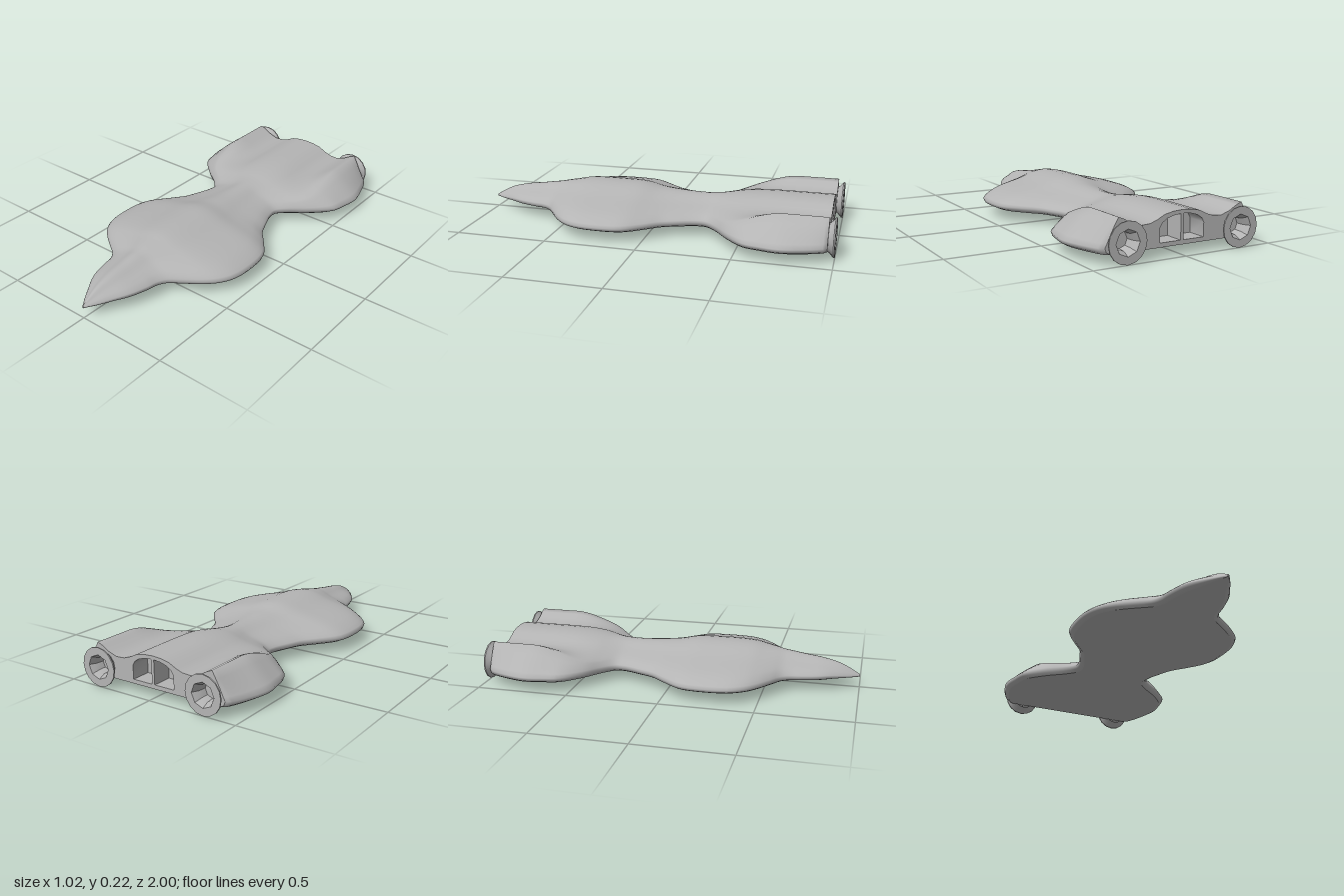
import * as THREE from 'three';
import { toCreasedNormals } from 'three/addons/utils/BufferGeometryUtils.js';

const BACK = -0.965;
const lerp = THREE.MathUtils.lerp;
const smooth = THREE.MathUtils.smoothstep;

// Outline stations: half width, ridge height, z
const STATIONS = [
  [0.004, 0.07, 1], [0.04, 0.1, 0.95], [0.078, 0.128, 0.89], [0.13, 0.15, 0.8], [0.16, 0.164, 0.7],
  [0.172, 0.174, 0.64], [0.198, 0.18, 0.595], [0.265, 0.19, 0.545], [0.34, 0.2, 0.49],
  [0.4, 0.211, 0.43], [0.44, 0.215, 0.35], [0.452, 0.215, 0.22], [0.435, 0.212, 0.1],
  [0.365, 0.193, 0], [0.3, 0.186, -0.08], [0.265, 0.181, -0.16], [0.232, 0.18, -0.25],
  [0.23, 0.182, -0.31], [0.285, 0.187, -0.375], [0.38, 0.197, -0.45], [0.473, 0.205, -0.55],
  [0.495, 0.209, -0.63], [0.51, 0.213, -0.73], [0.493, 0.212, -0.82], [0.445, 0.21, -0.945], [0.42, 0.208, BACK],
];

// Front cross-section: fraction of half width, fraction of ridge height
const FRONT = [[0, 1], [0.1, 0.97], [0.2, 0.9], [0.3, 0.79], [0.4, 0.69], [0.5, 0.61], [0.6, 0.54],
  [0.7, 0.46], [0.78, 0.39], [0.85, 0.31], [0.92, 0.2], [0.97, 0.1], [1, 0]];
// Rear cross-section: raised centre, valley and engine pod; past the pod crest x is a fraction to the rim
const REAR = [[0, 0.213], [0.05, 0.21], [0.1, 0.2], [0.14, 0.18], [0.18, 0.166], [0.23, 0.163], [0.28, 0.18],
  [0.32, 0.203], [0.35, 0.215], [0.3, 0.178], [0.6, 0.138], [0.85, 0.1], [1, 0.08]];

// Open section from the left bottom edge, over the top, to the right bottom edge
function section({ x: w, y: h, z }) {
  const rim = lerp(0.064, 0.08, smooth(1 - z, 0, 0.2));
  const floor = lerp(0.046, 0.058, (z + 1) / 2);
  const tx = smooth(-z, 0.3, 0.6), ty = smooth(-z, 0.38, 0.74);
  const half = FRONT.map(([u, f], j) => {
    const xr = j < 9 ? REAR[j][0] : lerp(0.35, w, REAR[j][0]);
    return [lerp(u * w, xr, tx), lerp(rim + (h - rim) * f, REAR[j][1], ty)];
  });
  const inset = Math.min(0.03, w * 0.3);
  half.push([w - inset * 0.25, lerp(rim, floor, 0.6)], [w - inset, floor]);
  const mirrored = half.slice(1).map(([x, y]) => [-x, y]);
  return [...half.reverse(), ...mirrored].map(([x, y]) => new THREE.Vector3(x, y, z));
}

// Skin joining a list of equal-length point rows
function loft(rows) {
  const n = rows[0].length, index = [];
  for (let i = 0; i < rows.length - 1; i++) {
    for (let j = 0; j < n - 1; j++) {
      const a = i * n + j, b = a + 1, c = a + n, d = c + 1;
      index.push(a, c, b, b, c, d);
    }
  }
  const g = new THREE.BufferGeometry().setFromPoints(rows.flat());
  g.setIndex(index);
  g.computeVertexNormals();
  return g;
}

const ngon = (n, r, cx = 0, cy = 0) => Array.from({ length: n }, (_, i) => {
  const a = (i / n) * Math.PI * 2;
  return new THREE.Vector2(cx + r * Math.cos(a), cy + r * Math.sin(a));
});

// Flat plate with holes facing the rear
function rearPlate(outline, holes, z) {
  const shape = new THREE.Shape(outline);
  holes.forEach((h) => shape.holes.push(new THREE.Path(h)));
  const g = new THREE.ShapeGeometry(shape);
  g.rotateY(Math.PI);
  g.translate(0, 0, z);
  return g;
}

// Arched vent opening, tall beside the centre divider
function ventOutline(side) {
  return [[0.008, 0.068], [0.125, 0.068], [0.125, 0.14], [0.112, 0.162], [0.085, 0.18], [0.045, 0.191], [0.008, 0.194]]
    .map(([x, y]) => new THREE.Vector2(x * side, y));
}

export function createModel() {
  const model = new THREE.Group();
  const grey = new THREE.MeshStandardMaterial({ color: 0xb4b4b4, side: THREE.DoubleSide });
  grey.name = 'hull grey';
  const add = (name, geometry, parent = model) => {
    const mesh = new THREE.Mesh(geometry, grey);
    mesh.name = name;
    parent.add(mesh);
    return mesh;
  };

  // Hull skin and flat belly
  const curve = new THREE.CatmullRomCurve3(STATIONS.map(([w, h, z]) => new THREE.Vector3(w, h, z)));
  const rows = curve.getPoints(100).map(section);
  add('hull', loft(rows));
  add('belly', loft(rows.map((r) => [r[r.length - 1], r[0]])));

  // Rear bulkhead with vent and nozzle openings
  const last = rows[rows.length - 1].map((p) => new THREE.Vector2(p.x, p.y));
  const vents = [1, -1].map(ventOutline);
  const throats = [1, -1].map((s) => ngon(8, 0.046, s * 0.32, 0.1));
  add('rearBulkhead', rearPlate(last, [...vents, ...throats], BACK));

  [1, -1].forEach((side, k) => {
    const name = side > 0 ? 'left' : 'right';

    // Recessed vent with walls and a back panel
    const ring = [...vents[k], vents[k][0]];
    if (side < 0) ring.reverse();
    const walls = loft([-0.86, BACK].map((z) => ring.map((p) => new THREE.Vector3(p.x, p.y, z))));
    add(name + 'VentWalls', toCreasedNormals(walls, 0.6));
    add(name + 'VentPanel', rearPlate(vents[k], [], -0.86));

    // Flared engine nozzle with an octagonal throat
    const nozzle = new THREE.Group();
    nozzle.name = name + 'Nozzle';
    nozzle.position.set(side * 0.32, 0.1, -0.955);
    model.add(nozzle);
    const lathe = (points, n) => {
      const g = new THREE.LatheGeometry(points.map(([r, y]) => new THREE.Vector2(r, y)), n);
      return toCreasedNormals(g.rotateX(-Math.PI / 2), 0.5);
    };
    add('nozzleFlare', lathe([[0.07, 0], [0.08, 0.018], [0.102, 0.038], [0.102, 0.045]], 16), nozzle);
    add('nozzleRim', rearPlate(ngon(16, 0.102), [ngon(8, 0.064)], -0.045), nozzle);
    add('nozzleThroat', lathe([[0.064, 0.045], [0.046, 0.01], [0.042, -0.03], [0, -0.03]], 8), nozzle);
  });

  return model;
}
